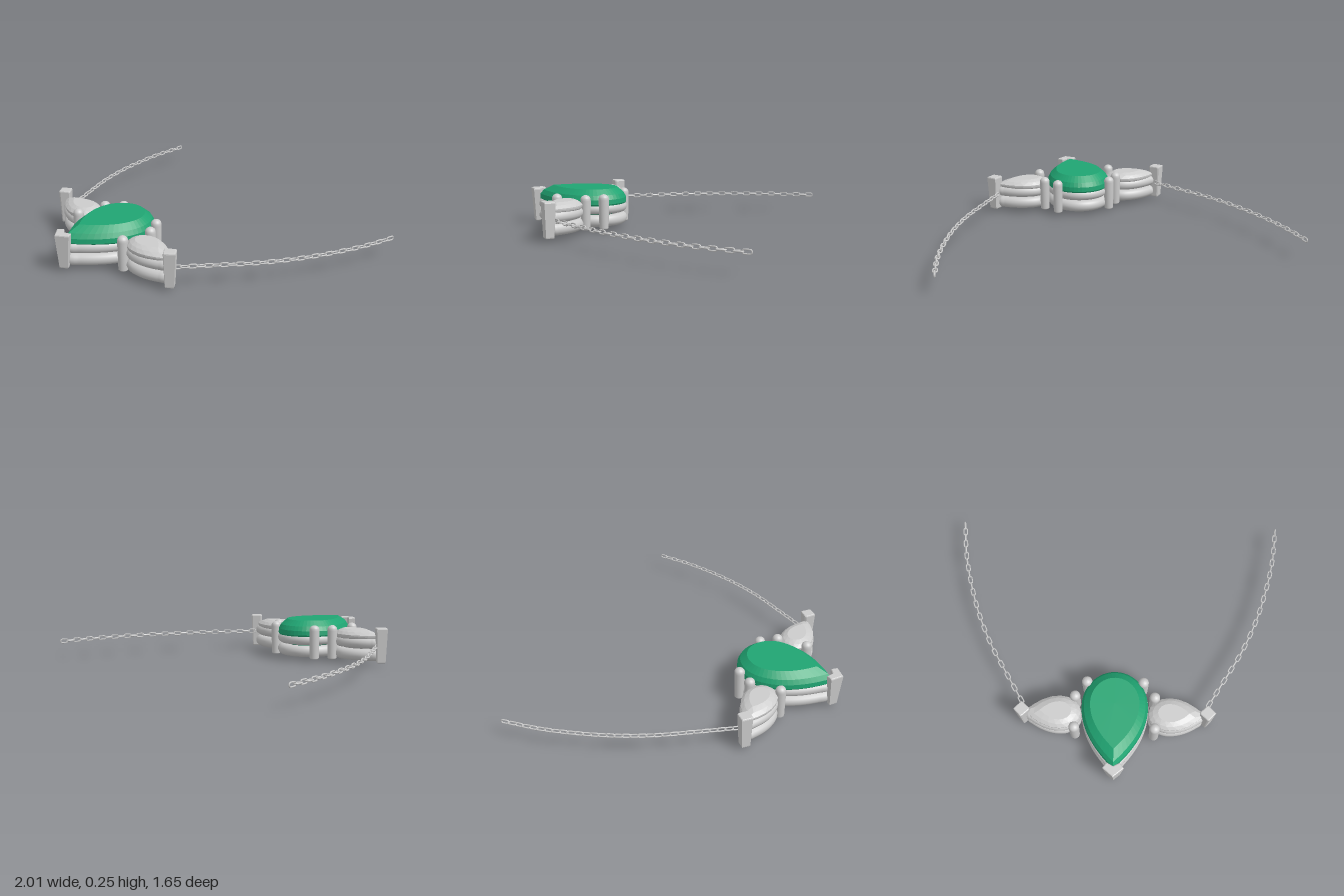
import * as THREE from 'three';

const metal = new THREE.MeshStandardMaterial({ color: 0xcccccc });
const metalFlat = new THREE.MeshStandardMaterial({ color: 0xcccccc, flatShading: true });
const green = new THREE.MeshStandardMaterial({ color: 0x20a472, flatShading: true });

function add(parent, name, geometry, material, x = 0, y = 0, z = 0) {
  const mesh = new THREE.Mesh(geometry, material);
  mesh.name = name;
  mesh.position.set(x, y, z);
  parent.add(mesh);
  return mesh;
}

// Pear outline: tip on +z, round end on -z; u runs 0..1 from the tip round by +x
function pear({ w, back, tip }, u) {
  u = (u % 1 + 1) % 1;
  const side = u <= 0.5 ? 1 : -1;
  const q = (u <= 0.5 ? u : 1 - u) * 4;
  if (q < 1) {
    const s = 1 - q;
    return [side * w * (1 - s * s), tip * s];
  }
  const a = (q - 1) * Math.PI / 2;
  return [side * w * Math.cos(a), -back * Math.sin(a)];
}

// Cut stone: rows of [scale, y, stagger] from the bottom point to the table
function gemGeometry(size, rows, n) {
  const pos = [], index = [];
  for (const [scale, y, stagger = 0] of rows) {
    for (let i = 0; i < n; i++) {
      const [x, z] = pear(size, (i + stagger) / n);
      pos.push(x * scale, y, z * scale);
    }
  }
  for (let r = 0; r < rows.length - 1; r++) {
    // lean the diagonals with the stagger so that facets alternate
    const lean = (rows[r + 1][2] || 0) < (rows[r][2] || 0);
    for (let i = 0; i < n; i++) {
      const j = (i + 1) % n;
      const a = r * n + i, b = r * n + j, c = a + n, d = b + n;
      if (rows[r][0] === 0) index.push(a, d, c);
      else if (rows[r + 1][0] === 0) index.push(a, b, c);
      else if (lean) index.push(a, d, c, a, b, d);
      else index.push(a, b, c, b, d, c);
    }
  }
  const g = new THREE.BufferGeometry();
  g.setAttribute('position', new THREE.Float32BufferAttribute(pos, 3));
  g.setIndex(index);
  g.computeVertexNormals();
  return g;
}

// Closed rail following the outline, inset by its own radius
function railGeometry({ w, back, tip }, r) {
  const inner = { w: w - r * 0.9, back: back - r * 0.9, tip: tip - r * 0.9 };
  const pts = [];
  for (let i = 0; i < 32; i++) {
    const [x, z] = pear(inner, i / 32);
    pts.push(new THREE.Vector3(x, 0, z));
  }
  return new THREE.TubeGeometry(new THREE.CatmullRomCurve3(pts, true), 96, r, 14, true);
}

// Round claw with a domed top
function clawGeometry() {
  const pts = [[0, 0.02], [0.022, 0.02], [0.028, 0.027], [0.031, 0.195]];
  for (let i = 1; i <= 6; i++) {
    const a = i / 6 * Math.PI / 2;
    pts.push([0.031 * Math.cos(a), 0.2 + 0.03 * Math.sin(a)]);
  }
  return new THREE.LatheGeometry(pts.map(p => new THREE.Vector2(Math.max(p[0], 0), p[1])), 20);
}

// Tip claw: bevelled plan shape, narrowing towards the bottom
function tipClawGeometry(outline, taper) {
  const bevel = 0.008;
  const g = new THREE.ExtrudeGeometry(
    new THREE.Shape(outline.map(p => new THREE.Vector2(...p))),
    { depth: 0.21 - 2 * bevel, bevelEnabled: true, bevelThickness: bevel, bevelSize: 0.006, bevelOffset: -0.006, bevelSegments: 2 });
  g.rotateX(Math.PI / 2).translate(0, 0.23 - bevel, 0);
  const p = g.attributes.position;
  for (let i = 0; i < p.count; i++) {
    const f = taper + (1 - taper) * Math.min(1, (p.getY(i) - 0.02) / 0.19);
    p.setXYZ(i, p.getX(i) * f, p.getY(i), p.getZ(i) * f);
  }
  g.computeVertexNormals();
  return g;
}

// One stone with two rails, two round claws and a tip claw
function setting(name, o) {
  const group = new THREE.Group();
  group.name = name;
  add(group, 'gem', gemGeometry(o.size, o.rows, o.segments), o.material);
  add(group, 'lowerRail', railGeometry(o.size, 0.036), metal, 0, 0.061, 0);
  add(group, 'upperRail', railGeometry(o.size, 0.033), metal, 0, 0.133, 0);
  for (const s of [-1, 1]) add(group, 'claw', clawGeometry(), metal, s * o.claw[0], 0, o.claw[1]);
  add(group, 'tipClaw', tipClawGeometry(o.tipClaw, o.taper), metalFlat, 0, 0, o.tipZ);
  return group;
}

// Oval chain link lying flat along x
function linkGeometry() {
  const pts = [];
  for (let i = 0; i < 16; i++) {
    const a = i / 16 * Math.PI * 2;
    const c = Math.cos(a);
    pts.push(new THREE.Vector3(0.011 * c + 0.013 * Math.sign(Math.round(c * 100)), 0, 0.011 * Math.sin(a)));
  }
  return new THREE.TubeGeometry(new THREE.CatmullRomCurve3(pts, true), 32, 0.0042, 6, true);
}

function chain(side) {
  const group = new THREE.Group();
  group.name = side > 0 ? 'leftChain' : 'rightChain';
  const path = new THREE.CatmullRomCurve3(
    [[0.525, 0.4], [0.647, 0.2], [0.765, 0], [0.855, -0.2], [0.92, -0.4], [0.967, -0.6], [0.995, -0.825]]
      .map(([x, z]) => new THREE.Vector3(side * x, 0.12, z)));
  const count = 31, link = linkGeometry();
  for (let i = 0; i < count; i++) {
    const u = (i + 0.5) / count;
    const t = path.getTangentAt(u), p = path.getPointAt(u);
    const mesh = add(group, 'chainLink', link, metal, p.x, p.y, p.z);
    mesh.rotation.order = 'YXZ';
    mesh.rotation.y = Math.atan2(-t.z, t.x);
    if (i % 2 === 0) mesh.rotation.x = Math.PI / 2;
  }
  return group;
}

export function createModel() {
  const model = new THREE.Group();
  model.name = 'pendantNecklace';

  // Large green centre stone
  const centre = setting('centreSetting', {
    size: { w: 0.195, back: 0.21, tip: 0.365 },
    rows: [[0, 0.002], [0.55, 0.075], [0.97, 0.152], [1, 0.163], [0.99, 0.19], [0.92, 0.217], [0.73, 0.25], [0, 0.25]],
    segments: 48, material: green,
    claw: [0.166, -0.142],
    tipClaw: [[0, 0.052], [-0.062, 0], [-0.037, -0.033], [0, -0.012], [0.037, -0.033], [0.062, 0]],
    tipZ: 0.373, taper: 0.6,
  });
  centre.position.z = 0.39;
  model.add(centre);

  // Smaller side stones pointing outwards, and the chain beyond them
  for (const side of [-1, 1]) {
    const s = setting(side > 0 ? 'leftSetting' : 'rightSetting', {
      size: { w: 0.098, back: 0.122, tip: 0.205 },
      rows: [[0, 0.05], [0.55, 0.105, 0.5], [0.98, 0.163], [1, 0.172], [1, 0.18], [0.82, 0.197, 0.5], [0.56, 0.21], [0, 0.21]],
      segments: 16, material: metalFlat,
      claw: [0.093, -0.087],
      tipClaw: [[0, 0.049], [-0.046, 0.005], [-0.043, -0.004], [-0.006, -0.044], [0.006, -0.044], [0.043, -0.004], [0.046, 0.005]],
      tipZ: 0.218, taper: 0.75,
    });
    s.position.set(side * 0.32, 0, 0.43);
    s.rotation.y = side * Math.PI / 2;
    model.add(s, chain(side));
  }
  return model;
}
